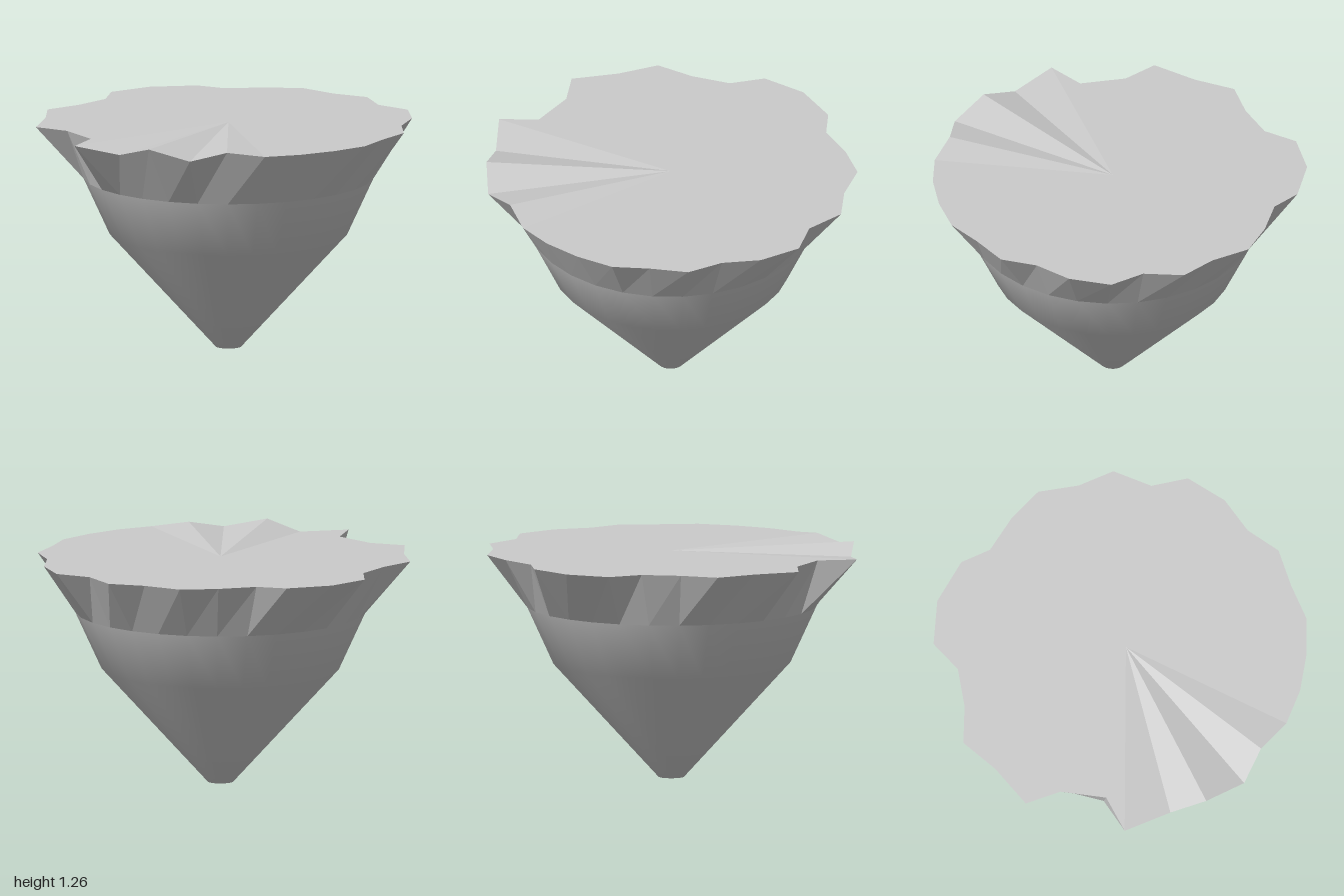
import * as THREE from 'three';

const SIDES = 30, CX = 0.02, CZ = -0.015;   // axis of the cone
const RING_R = 0.787, RING_Y = 0.94, RIM_Y = 1.235;

// Jagged rim outline [x, z, optional y], one point every 12 degrees from +x towards +z
const RIM = [
  [0.96, -0.02], [0.995, 0.18], [0.90, 0.37], [0.825, 0.56], [0.675, 0.71],
  [0.505, 0.83], [0.32, 0.91], [0.115, 0.92, 1.255], [-0.08, 0.985, 1.215], [-0.31, 0.925, 1.265],
  [-0.48, 0.82, 1.21], [-0.735, 0.725], [-0.67, 0.52], [-0.82, 0.32], [-1.0, 0.235],
  [-0.975, -0.02], [-0.99, -0.25], [-0.835, -0.395], [-0.71, -0.57], [-0.70, -0.765],
  [-0.51, -0.925], [-0.26, -0.99], [-0.10, -0.93], [0.11, -0.975], [0.32, -0.98],
  [0.50, -0.85], [0.69, -0.775], [0.775, -0.57], [0.945, -0.46], [0.995, -0.23],
];

const rimPoint = (k) => {
  const [x, z, y = RIM_Y] = RIM[(k + SIDES) % SIDES];
  return [x, y, z];
};
const ringPoint = (k) => {
  const a = (k / SIDES) * Math.PI * 2;
  return [CX + RING_R * Math.cos(a), RING_Y, CZ + RING_R * Math.sin(a)];
};

function triangles(points) {
  const g = new THREE.BufferGeometry();
  g.setAttribute('position', new THREE.Float32BufferAttribute(points.flat(), 3));
  g.computeVertexNormals();
  return g;
}

export function createModel() {
  const group = new THREE.Group();
  const smooth = new THREE.MeshStandardMaterial({ color: 0xcccccc });
  const flat = new THREE.MeshStandardMaterial({ color: 0xcccccc, flatShading: true });
  const add = (name, geometry, material) => {
    const mesh = new THREE.Mesh(geometry, material);
    mesh.name = name;
    group.add(mesh);
    return mesh;
  };

  // Smooth tapering underside
  const profile = [[0.07, 0], [0.645, 0.63], [RING_R, RING_Y]].map((p) => new THREE.Vector2(...p));
  add('rockCone', new THREE.LatheGeometry(profile, SIDES, Math.PI / 2), smooth).position.set(CX, 0, CZ);

  // Small flat tip
  const tip = new THREE.CircleGeometry(0.07, SIDES).rotateX(Math.PI / 2);
  add('tipCap', tip, flat).position.set(CX, 0, CZ);

  // Faceted band flaring out to the jagged rim, and the top surface
  const band = [], top = [], centre = [CX, RIM_Y, CZ];
  for (let k = 0; k < SIDES; k++) {
    band.push(ringPoint(k + 1), ringPoint(k), rimPoint(k));
    band.push(ringPoint(k), rimPoint(k - 1), rimPoint(k));
    top.push(centre, rimPoint(k + 1), rimPoint(k));
  }
  add('jaggedRim', triangles(band), flat);
  add('topSurface', triangles(top), flat);

  return group;
}
